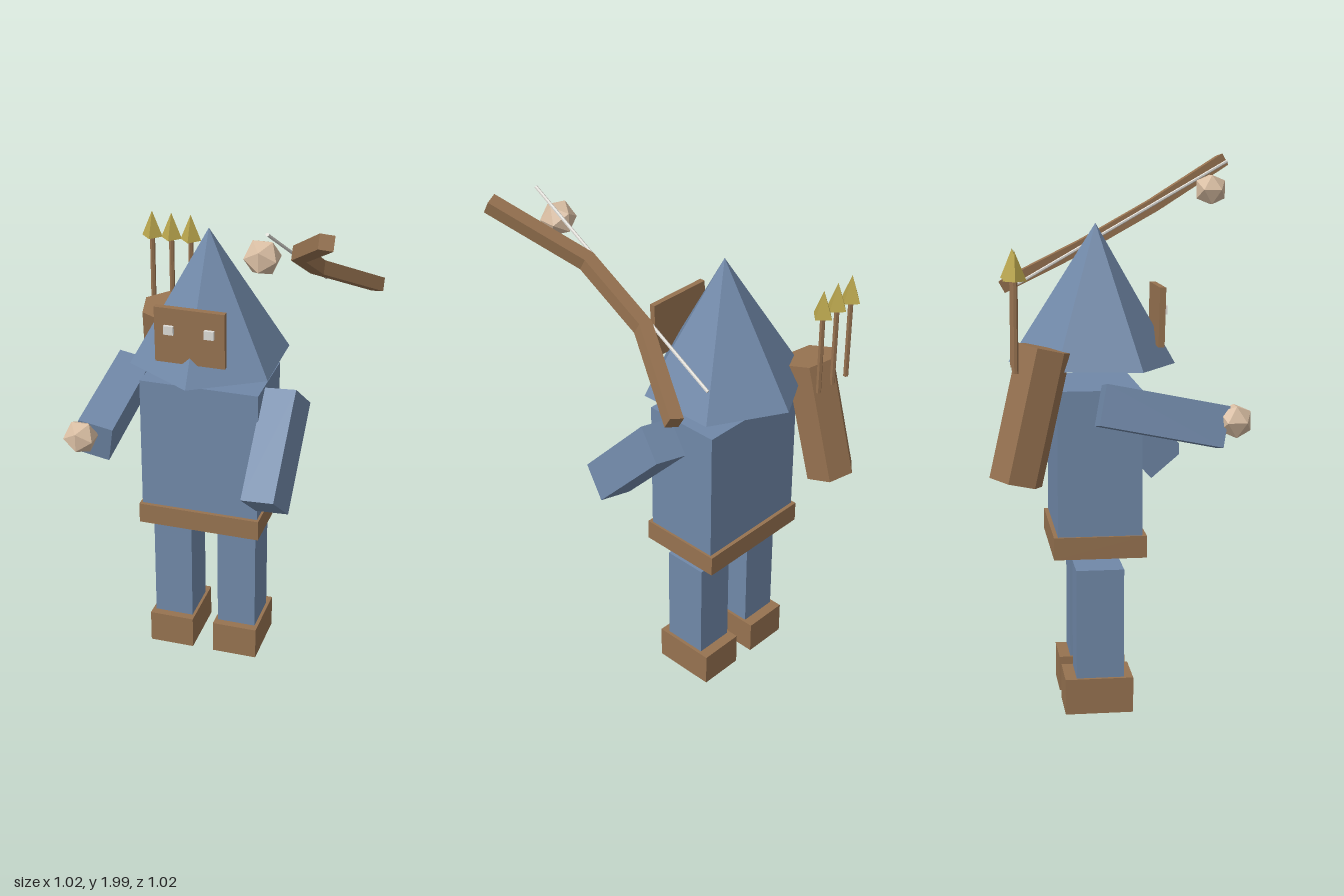
import * as THREE from 'three';

const material = (name, color) => {
  const m = new THREE.MeshStandardMaterial({ color, flatShading: true });
  m.name = name;
  return m;
};
const V = (x, y, z) => new THREE.Vector3(x, y, z);

export function createModel() {
  const blue = material('blue cloth', 0x7088a8);
  const brown = material('brown leather', 0x967250);
  const skin = material('pale skin', 0xd8bda2);
  const gold = material('arrowhead gold', 0xb8a44c);
  const white = material('off white', 0xdedcd6);

  const model = new THREE.Group();
  model.name = 'archer';

  const add = (parent, name, geometry, mat, x = 0, y = 0, z = 0) => {
    const mesh = new THREE.Mesh(geometry, mat);
    mesh.name = name;
    mesh.position.set(x, y, z);
    parent.add(mesh);
    return mesh;
  };
  const box = (parent, name, mat, [w, h, d], [x, y, z]) =>
    add(parent, name, new THREE.BoxGeometry(w, h, d), mat, x, y, z);

  // Turns a mesh so its local y follows `up` and its local x leans towards `side`
  const orient = (mesh, up, side) => {
    const y = up.clone().normalize();
    const x = side.clone().addScaledVector(y, -side.dot(y)).normalize();
    const z = x.clone().cross(y);
    mesh.quaternion.setFromRotationMatrix(new THREE.Matrix4().makeBasis(x, y, z));
    return mesh;
  };

  // Body, slightly turned
  const body = new THREE.Group();
  body.name = 'body';
  body.position.set(-0.088, 0, -0.11);
  body.rotation.y = -0.052;
  model.add(body);
  box(body, 'torso', blue, [0.455, 0.56, 0.3], [0, 0.9, 0]);
  box(body, 'belt', brown, [0.473, 0.08, 0.33], [0, 0.62, 0]);
  for (const s of [-1, 1]) {
    const side = s > 0 ? 'left' : 'right';
    box(body, side + 'Leg', blue, [0.152, 0.4, 0.172], [s * 0.129, 0.33, 0.002]);
    box(body, side + 'Boot', brown, [0.176, 0.13, 0.245], [s * 0.13, 0.065, -0.003]);
  }

  // Hood with face plate and eyes, leaning a little forward
  const head = new THREE.Group();
  head.name = 'head';
  head.position.y = 1.25;
  head.rotation.x = 0.025;
  body.add(head);
  add(head, 'hood', new THREE.ConeGeometry(0.302, 0.5, 6), blue, 0, 0.25, -0.003);
  box(head, 'face', brown, [0.26, 0.212, 0.022], [0, 0.178, 0.228]);
  for (const s of [-1, 1]) box(head, 'eye', white, [0.036, 0.033, 0.014], [s * 0.075, 0.202, 0.244]);

  // Arms
  const rightArm = box(model, 'rightArm', blue, [0.129, 0.435, 0.145], [-0.403, 1.1, 0.081]);
  orient(rightArm, V(0.025, 0.085, -0.425), V(0.127, -0.024, 0));
  const leftArm = box(model, 'leftArm', blue, [0.13, 0.43, 0.145], [0.2035, 0.9765, 0.069]);
  orient(leftArm, V(0.016, 0.312, -0.295), V(0.127, 0.021, 0.023));

  // Hands
  const hand = new THREE.IcosahedronGeometry(0.064, 0);
  add(model, 'rightHand', hand, skin, -0.452, 1.085, 0.327).rotation.y = -0.052;
  add(model, 'leftHand', hand, skin, 0.217, 1.857, 0.391).rotation.y = -0.052;

  // Bow: mitred outline (x = bend direction, y = length), extruded
  const h = 0.025, knee = 0.152, tip = 0.494, bend = 0.16;
  const angle = Math.atan2(bend, tip - knee);
  const shift = h * Math.tan(angle / 2), sn = h * Math.sin(angle), cs = h * Math.cos(angle);
  const outer = [[-h, knee + shift], [bend - cs, tip + sn]];
  const inner = [[bend + cs, tip - sn], [h, knee - shift]];
  const half = [...outer, ...inner];
  const outline = [...half, ...half.map(([x, y]) => [x, -y]).reverse()];
  const bowShape = new THREE.Shape(outline.map(([x, y]) => new THREE.Vector2(x, y)));
  const bowGeometry = new THREE.ExtrudeGeometry(bowShape, { depth: 0.05, bevelEnabled: false });
  bowGeometry.translate(0, 0, -0.025);
  const bow = add(model, 'bow', bowGeometry, brown, 0.304, 1.721, 0.05);
  orient(bow, V(-0.047, 0.483, 0.861), V(1, 0, 0.03));

  // Bow string
  const a = V(0.247, 1.963, 0.462), b = V(0.295, 1.497, -0.351);
  const string = add(model, 'bowString',
    new THREE.CylinderGeometry(0.006, 0.006, a.distanceTo(b), 6), white);
  string.position.copy(a).add(b).multiplyScalar(0.5);
  orient(string, a.clone().sub(b), V(1, 0, 0));

  // Quiver on the back
  const quiver = add(model, 'quiver', new THREE.CylinderGeometry(0.096, 0.096, 0.475, 6), brown,
    -0.326, 1.103, -0.368);
  orient(quiver, V(0.019, 0.46, 0.106), V(0.99, 0, -0.13));

  // Arrows
  for (let i = -1; i <= 1; i++) {
    const arrow = new THREE.Group();
    arrow.name = 'arrow';
    arrow.position.set(-0.319 + i * 0.077, 0, -0.42 + i * 0.004);
    arrow.rotation.y = -0.052;
    model.add(arrow);
    add(arrow, 'arrowShaft', new THREE.CylinderGeometry(0.01, 0.01, 0.32, 6), brown, 0, 1.42, 0);
    add(arrow, 'arrowHead', new THREE.ConeGeometry(0.041, 0.1, 4), gold, 0, 1.622, 0);
  }

  return model;
}
